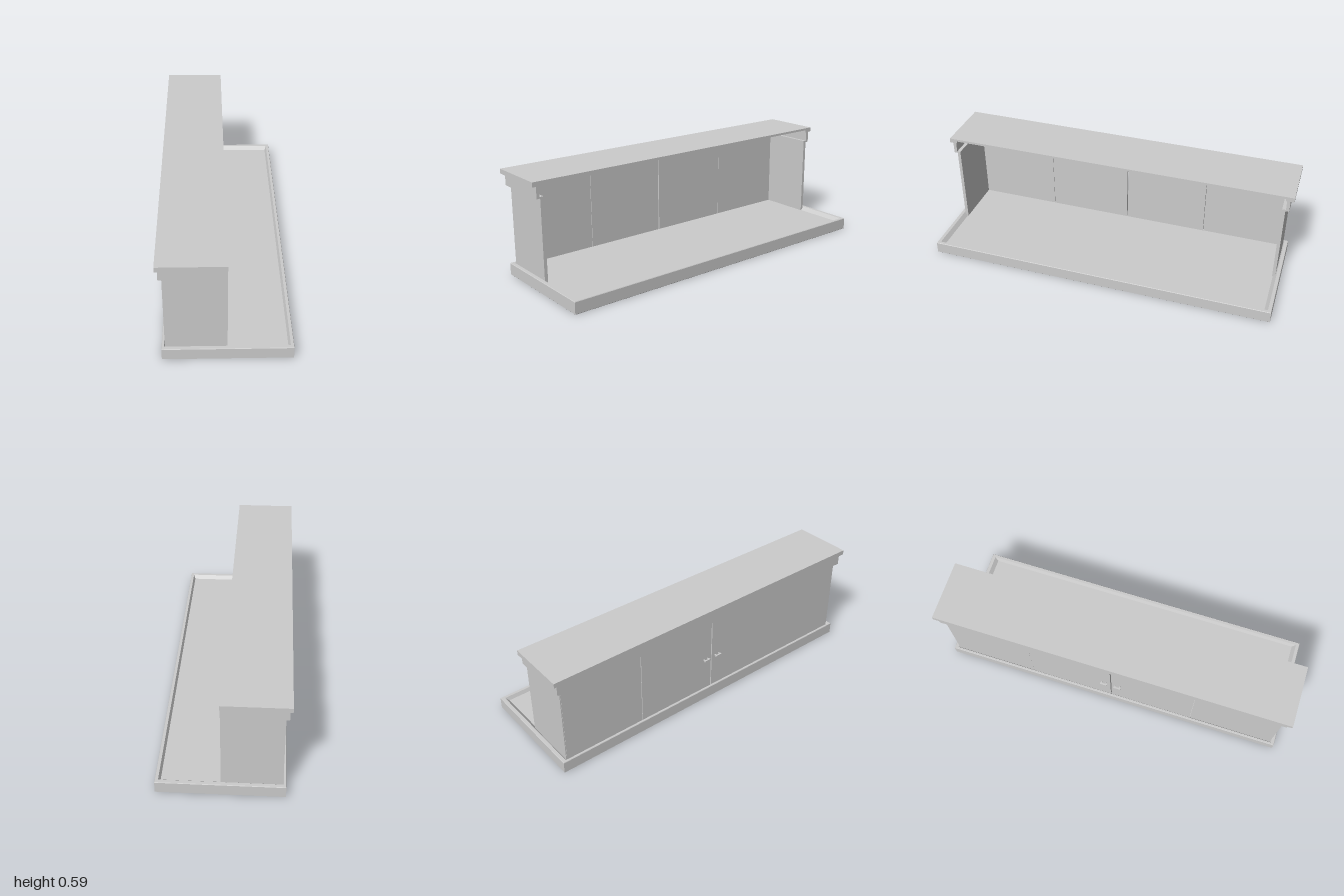
import * as THREE from 'three';

const mat = new THREE.MeshStandardMaterial({ color: 0xcccccc });

// Box given by its minimum and maximum on each axis
function box(parent, name, [x0, x1], [y0, y1], [z0, z1]) {
  const mesh = new THREE.Mesh(new THREE.BoxGeometry(x1 - x0, y1 - y0, z1 - z0), mat);
  mesh.position.set((x0 + x1) / 2, (y0 + y1) / 2, (z0 + z1) / 2);
  mesh.name = name;
  parent.add(mesh);
  return mesh;
}

// Stacked rectangles [x0, x1, halfZ, y] joined into one skin, capped at both ends
function rectLoft(rings) {
  const pos = [];
  const corners = rings.map(([x0, x1, z, y]) => [[x0, y, z], [x1, y, z], [x1, y, -z], [x0, y, -z]]);
  const quad = (a, b, c, d) => pos.push(...a, ...b, ...c, ...a, ...c, ...d);
  for (let i = 0; i < corners.length - 1; i++) {
    for (let k = 0; k < 4; k++) {
      const n = (k + 1) % 4;
      quad(corners[i][k], corners[i][n], corners[i + 1][n], corners[i + 1][k]);
    }
  }
  const first = corners[0], last = corners[corners.length - 1];
  quad(first[3], first[2], first[1], first[0]);
  quad(last[0], last[1], last[2], last[3]);
  const geo = new THREE.BufferGeometry();
  geo.setAttribute('position', new THREE.Float32BufferAttribute(pos, 3));
  geo.computeVertexNormals();
  return geo;
}

// Three-sided band (back and both ends), open towards +x
function uBand(parent, name, xOut, xIn, xOpen, y, zOut, zIn) {
  const g = new THREE.Group();
  g.name = name;
  box(g, name + 'Back', [xOut, xIn], y, [-zOut, zOut]);
  for (const s of [-1, 1]) {
    box(g, name + 'End', [xIn, xOpen], y, s > 0 ? [zIn, zOut] : [-zOut, -zIn]);
  }
  parent.add(g);
}

export function createModel() {
  const root = new THREE.Group();
  root.name = 'counter';
  const open = 0.005;

  // Base tray with softened edges and a sloping inner rim
  const base = new THREE.Mesh(rectLoft([
    [-0.317, 0.330, 0.983, 0],
    [-0.320, 0.333, 0.986, 0.003],
    [-0.320, 0.333, 0.986, 0.066],
    [-0.318, 0.331, 0.984, 0.069],
    [-0.308, 0.316, 0.966, 0.069],
    [-0.298, 0.306, 0.946, 0.049],
  ]), mat);
  base.name = 'baseTray';
  root.add(base);

  // End walls
  for (const s of [-1, 1]) {
    box(root, 'endWall', [-0.302, open], [0.048, 0.51], s > 0 ? [0.942, 0.96] : [-0.96, -0.942]);
  }

  // Back: fixed panels at the ends, two doors in the middle with handles
  for (const s of [-1, 1]) {
    const span = (a, b) => (s > 0 ? [a, b] : [-b, -a]);
    box(root, 'backPanel', [-0.304, -0.292], [0.048, 0.51], span(0.48, 0.955));
    box(root, 'door', [-0.306, -0.291], [0.048, 0.508], span(0.003, 0.478));

    const handle = new THREE.Group();
    handle.name = 'doorHandle';
    box(handle, 'handleBar', [-0.325, -0.316], [0.262, 0.27], span(0.02, 0.06));
    for (const z of [0.024, 0.05]) {
      box(handle, 'handlePost', [-0.317, -0.305], [0.263, 0.269], span(z, z + 0.006));
    }
    root.add(handle);
  }

  // Frieze, its inner ledge, and the overhanging top
  uBand(root, 'frieze', -0.32, -0.305, open, [0.503, 0.568], 0.98, 0.962);
  uBand(root, 'friezeLedge', -0.306, -0.292, open, [0.503, 0.512], 0.963, 0.942);
  uBand(root, 'topEdge', -0.333, -0.305, open, [0.567, 0.581], 1, 0.955);
  box(root, 'counterTop', [-0.333, open], [0.58, 0.593], [-1, 1]);

  return root;
}
